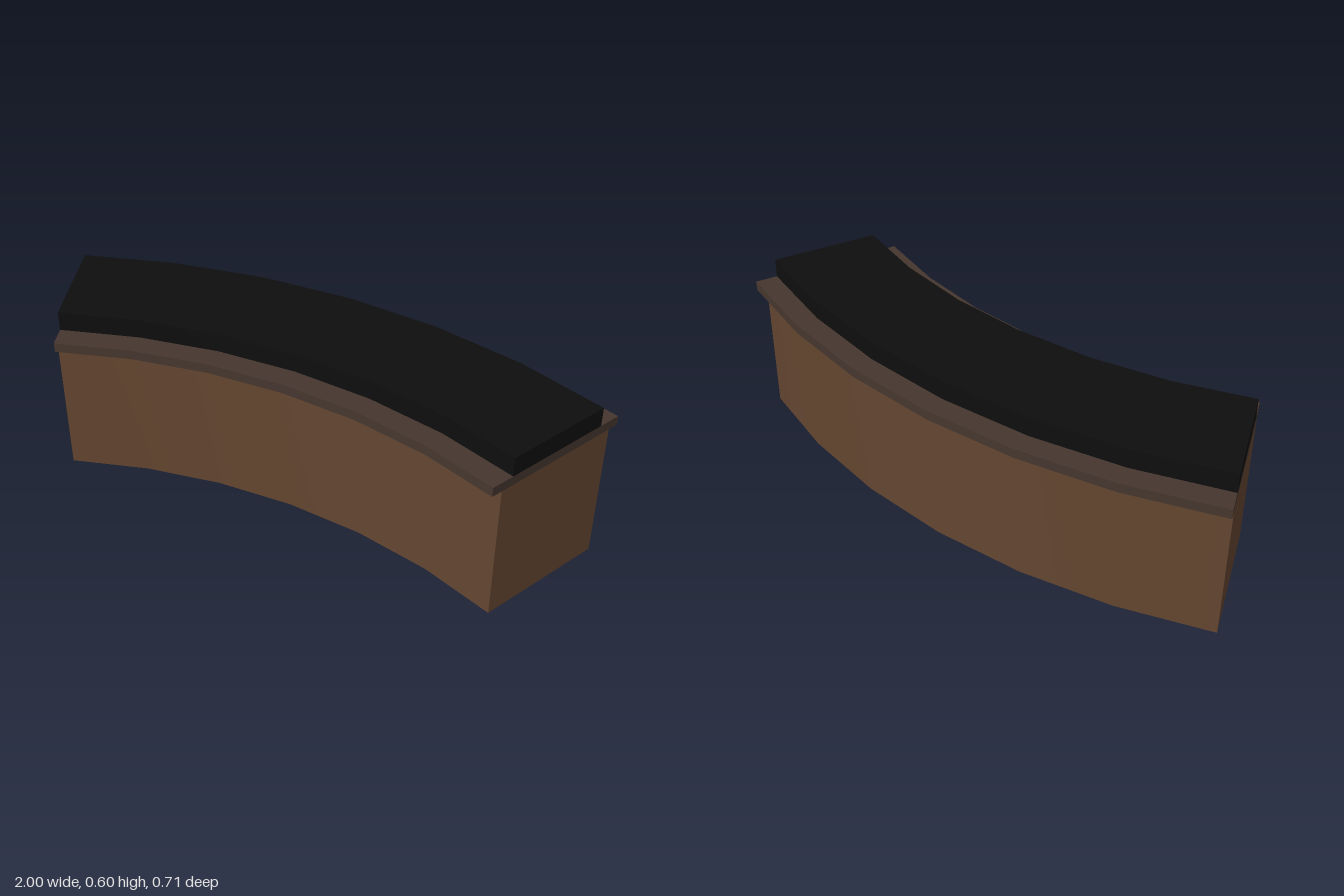
import * as THREE from 'three';
import { toCreasedNormals } from 'three/addons/utils/BufferGeometryUtils.js';

const CENTRE_Z = 2.258;        // centre of the bench's curve
const HALF_ANGLE = Math.PI / 8;
const SEGMENTS = 6;

// Curved block between two radii, from height y0 to y1
function arcBlock(name, inner, outer, y0, y1, material) {
  const points = [];
  const addArc = (radius, direction) => {
    for (let i = 0; i <= SEGMENTS; i++) {
      const a = direction * HALF_ANGLE * (2 * i / SEGMENTS - 1);
      points.push(new THREE.Vector2(radius * Math.sin(a), CENTRE_Z - radius * Math.cos(a)));
    }
  };
  addArc(outer, 1);
  addArc(inner, -1);
  const extruded = new THREE.ExtrudeGeometry(new THREE.Shape(points), { depth: y1 - y0, bevelEnabled: false });
  extruded.rotateX(Math.PI / 2).translate(0, y1, 0);
  const mesh = new THREE.Mesh(toCreasedNormals(extruded, Math.PI / 6), material);
  mesh.name = name;
  return mesh;
}

export function createModel() {
  const wood = new THREE.MeshStandardMaterial({ color: 0x644630 });
  wood.name = 'brown wood';
  const trim = new THREE.MeshStandardMaterial({ color: 0x46372f });
  trim.name = 'dark wood';
  const leather = new THREE.MeshStandardMaterial({ color: 0x0e0e0e });
  leather.name = 'black leather';

  const bench = new THREE.Group();
  bench.name = 'curvedBench';
  bench.add(
    arcBlock('base', 2.103, 2.575, 0, 0.5, wood),
    arcBlock('seatBoard', 2.064, 2.613, 0.5, 0.534, trim),
    arcBlock('cushion', 2.147, 2.533, 0.534, 0.603, leather),
  );
  return bench;
}
